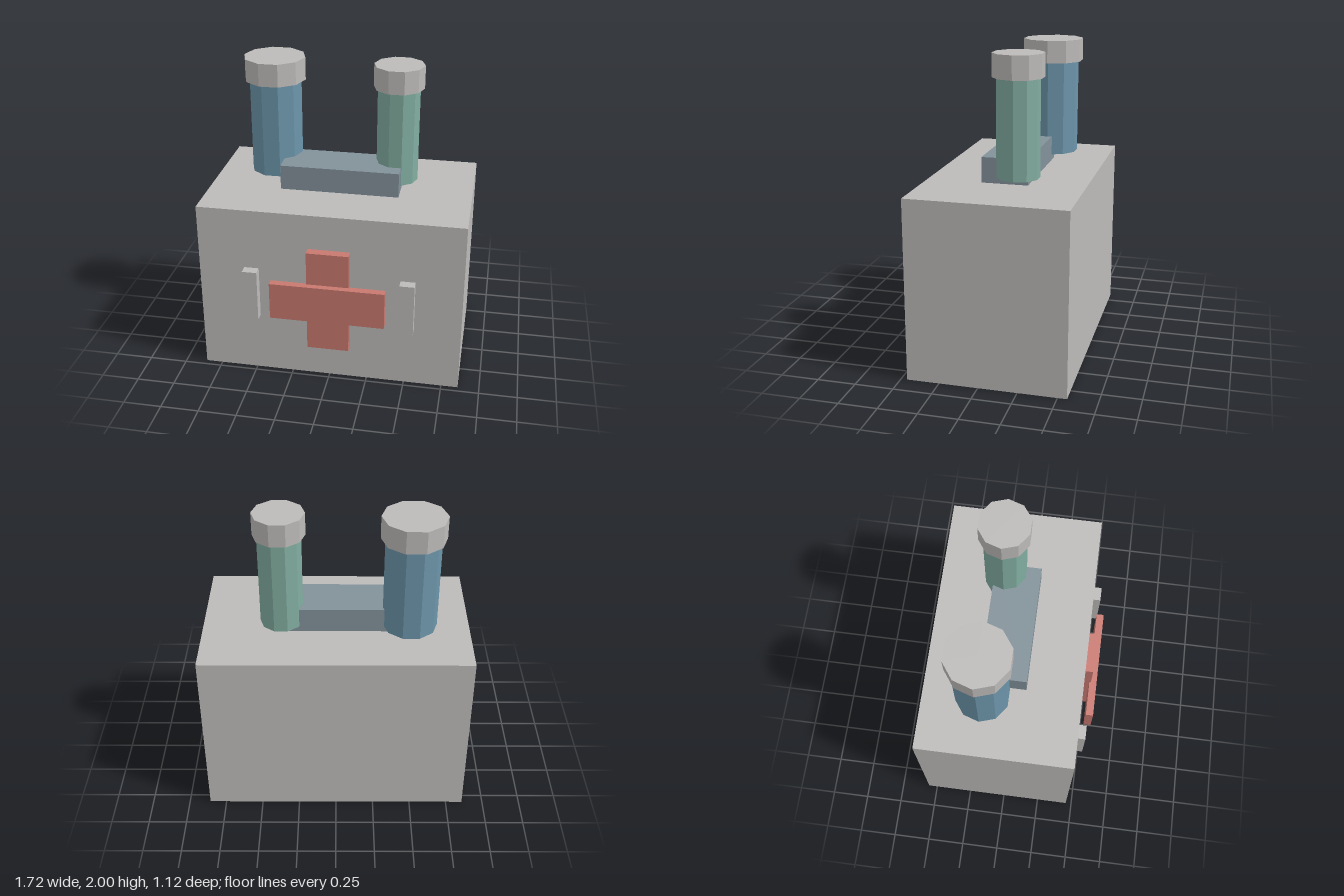
import * as THREE from 'three';

const flat = (name, color) => {
  const m = new THREE.MeshStandardMaterial({ color });
  m.name = name;
  return m;
};

export function createModel() {
  const grey = flat('light grey', 0xbdbbb9);
  const red = flat('red', 0xc8786f);
  const slate = flat('slate', 0x82919a);
  const blue = flat('blue', 0x6c95aa);
  const green = flat('green', 0x82ada0);

  const model = new THREE.Group();
  model.name = 'medicalCase';

  const add = (parent, name, geometry, material, x, y, z) => {
    const mesh = new THREE.Mesh(geometry, material);
    mesh.name = name;
    mesh.position.set(x, y, z);
    parent.add(mesh);
  };

  // Box given by its lower and upper corners
  const box = (name, material, [x0, y0, z0], [x1, y1, z1]) =>
    add(model, name, new THREE.BoxGeometry(x1 - x0, y1 - y0, z1 - z0), material,
      (x0 + x1) / 2, (y0 + y1) / 2, (z0 + z1) / 2);

  // Faceted ten-sided prism with corners on the x axis
  const prism = (radius, height) => {
    const g = new THREE.CylinderGeometry(radius, radius, height, 10)
      .rotateY(Math.PI / 2).toNonIndexed();
    g.computeVertexNormals();
    return g;
  };

  // Case and top block
  box('caseBody', grey, [-0.86, 0, -0.56], [0.86, 1.18, 0.46]);
  box('topBlock', slate, [-0.39, 1.18, -0.2], [0.39, 1.345, 0.1]);

  // Cross on the front, with the crossbar standing proud
  box('crossUpright', red, [-0.137, 0.24, 0.46], [0.137, 0.945, 0.52]);
  box('crossBar', red, [-0.373, 0.467, 0.51], [0.373, 0.72, 0.56]);

  // Latches on both sides of the cross
  for (const [name, x] of [['rightLatch', -0.511], ['leftLatch', 0.508]]) {
    box(name, grey, [x - 0.048, 0.417, 0.46], [x + 0.048, 0.77, 0.523]);
  }

  // Capped bottles hovering just above the case
  const bottle = (name, material, x, z, radius, capRadius) => {
    const group = new THREE.Group();
    group.name = name;
    group.position.set(x, 0, z);
    add(group, name + 'Tube', prism(radius, 0.63), material, 0, 1.535, 0);
    add(group, name + 'Cap', prism(capRadius, 0.15), grey, 0, 1.925, 0);
    model.add(group);
  };
  bottle('rightBottle', blue, -0.472, -0.17, 0.175, 0.203);
  bottle('leftBottle', green, 0.35, -0.128, 0.138, 0.164);

  return model;
}
